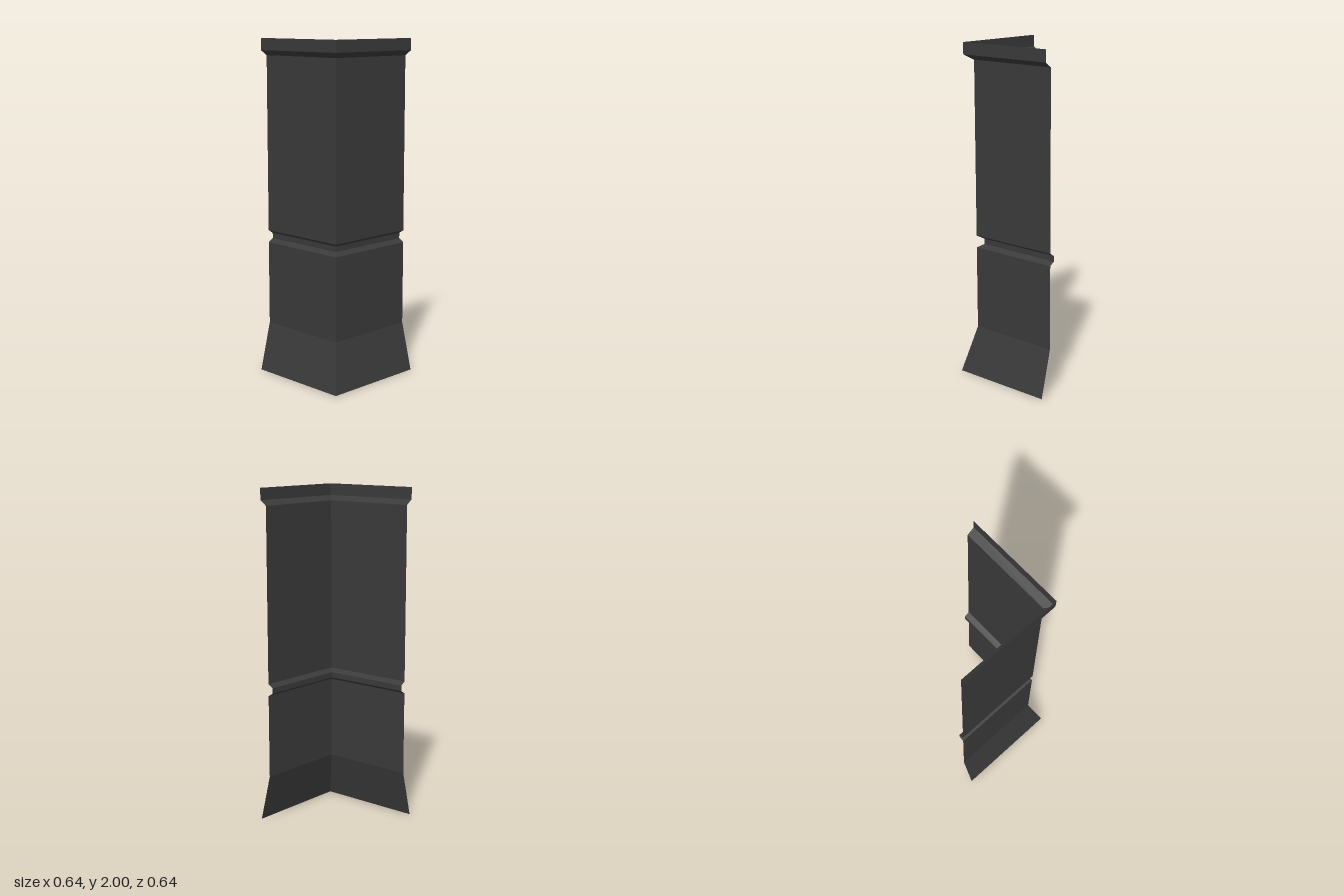
import * as THREE from 'three';

const END = 0.322; // open ends of both walls

// Strip of sheet bent round the corner; profile is a list of [outward distance, height]
function cornerSheet(name, profile, material) {
  const positions = [];
  const path = (d) => [[-d, -END], [-d, d], [END, d]];
  for (let i = 0; i < profile.length - 1; i++) {
    const [d0, y0] = profile[i];
    const [d1, y1] = profile[i + 1];
    const low = path(d0), high = path(d1);
    for (let j = 0; j < 2; j++) {
      const a = [low[j][0], y0, low[j][1]];
      const b = [low[j + 1][0], y0, low[j + 1][1]];
      const c = [high[j + 1][0], y1, high[j + 1][1]];
      const d = [high[j][0], y1, high[j][1]];
      positions.push(...a, ...b, ...c, ...a, ...c, ...d);
    }
  }
  const geometry = new THREE.BufferGeometry();
  geometry.setAttribute('position', new THREE.Float32BufferAttribute(positions, 3));
  geometry.computeVertexNormals(); // unshared corners keep every fold sharp
  const mesh = new THREE.Mesh(geometry, material);
  mesh.name = name;
  return mesh;
}

export function createModel() {
  const darkGrey = new THREE.MeshStandardMaterial({ color: 0x3a3a3a, side: THREE.DoubleSide });
  darkGrey.name = 'dark grey';

  const model = new THREE.Group();
  model.name = 'cornerWall';
  model.add(
    // Flared foot
    cornerSheet('flaredBase', [[0.322, 0], [0.25, 0.285]], darkGrey),
    cornerSheet('lowerWall', [[0.25, 0.285], [0.25, 0.785]], darkGrey),
    // Recessed band
    cornerSheet('groove', [[0.25, 0.785], [0.218, 0.805], [0.218, 0.838], [0.25, 0.858]], darkGrey),
    cornerSheet('upperWall', [[0.25, 0.858], [0.25, 1.9]], darkGrey),
    // Overhanging rim
    cornerSheet('topRim', [[0.25, 1.9], [0.293, 1.93], [0.293, 2]], darkGrey)
  );
  return model;
}
